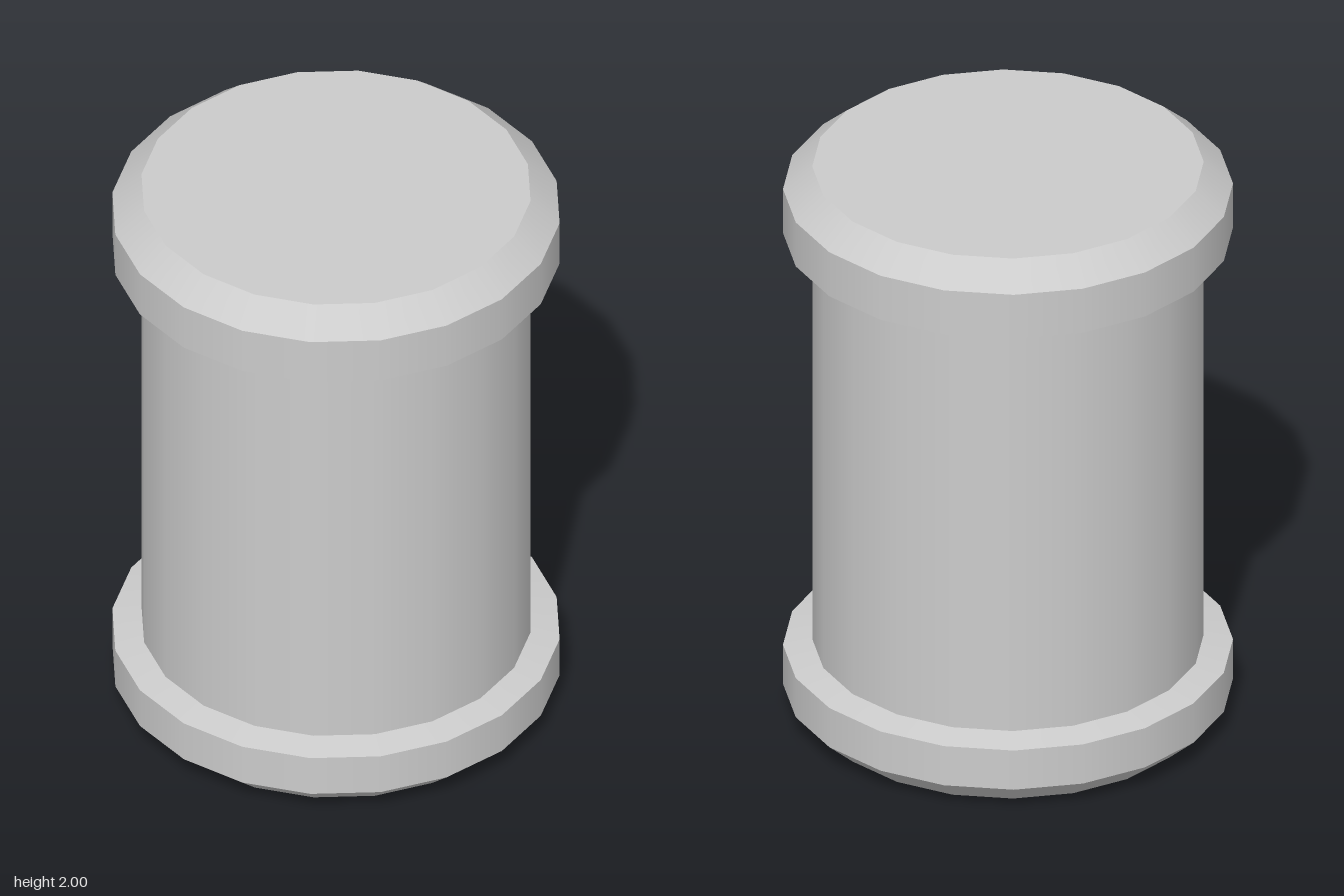
import * as THREE from 'three';
import { mergeGeometries } from 'three/addons/utils/BufferGeometryUtils.js';

const SIDES = 20;
const SHAFT_R = 0.635;
const RIM_R = 0.73;
const material = new THREE.MeshStandardMaterial({ color: 0xcccccc });

// Open ring between two [radius, height] points: smooth around, sharp at its edges
function band([r0, y0], [r1, y1]) {
  return new THREE.CylinderGeometry(r1, r0, y1 - y0, SIDES, 1, true).translate(0, (y0 + y1) / 2, 0);
}

// Flat end disc, facing up or down
function cap(y, up) {
  return new THREE.CircleGeometry(SHAFT_R, SIDES).rotateX(up ? -Math.PI / 2 : Math.PI / 2).translate(0, y, 0);
}

function part(name, profile, extra = []) {
  const bands = profile.slice(1).map((p, i) => band(profile[i], p));
  const mesh = new THREE.Mesh(mergeGeometries([...bands, ...extra]), material);
  mesh.name = name;
  return mesh;
}

export function createModel() {
  const group = new THREE.Group();
  group.name = 'column';

  // Bottom collar: wide lower bevel, upright rim, shallow upper ledge
  group.add(part('bottomCollar',
    [[SHAFT_R, 0], [RIM_R, 0.085], [RIM_R, 0.23], [SHAFT_R, 0.25]], [cap(0, false)]));

  // Straight shaft between the collars
  group.add(part('shaft', [[SHAFT_R, 0.25], [SHAFT_R, 1.735]]));

  // Top collar: shallow lower ledge, upright rim, wide upper bevel
  group.add(part('topCollar',
    [[SHAFT_R, 1.735], [RIM_R, 1.755], [RIM_R, 1.918], [SHAFT_R, 2]], [cap(2, true)]));

  return group;
}
